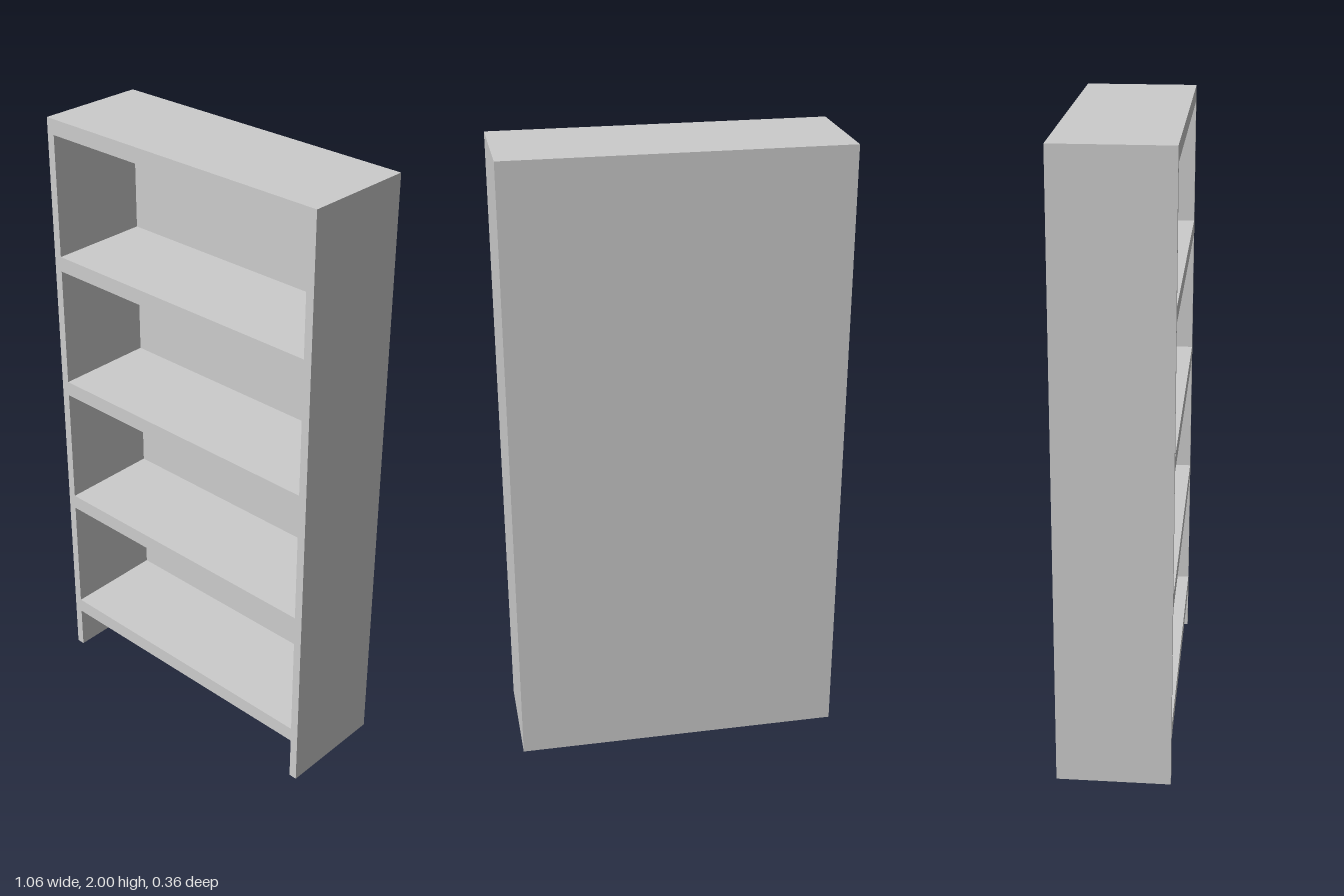
import * as THREE from 'three';

const WIDTH = 1.056, HEIGHT = 2, DEPTH = 0.36;
const SIDE = 0.027, BOARD = 0.05, BACK = 0.025;
const INNER = WIDTH - 2 * SIDE;

export function createModel() {
  const model = new THREE.Group();
  model.name = 'bookcase';
  const material = new THREE.MeshStandardMaterial({ color: 0xcccccc });

  const board = (name, w, h, d, x, y, z) => {
    const mesh = new THREE.Mesh(new THREE.BoxGeometry(w, h, d), material);
    mesh.name = name;
    mesh.position.set(x, y, z);
    model.add(mesh);
  };

  // Full-height side panels, which also form the feet
  for (const [name, s] of [['leftSide', 1], ['rightSide', -1]]) {
    board(name, SIDE, HEIGHT, DEPTH, s * (WIDTH - SIDE) / 2, HEIGHT / 2, 0);
  }

  // Top board between the sides
  board('top', INNER, BOARD, DEPTH, 0, HEIGHT - BOARD / 2, 0);

  // Back panel, reaching down to the floor
  const backHeight = HEIGHT - BOARD;
  board('backPanel', INNER, backHeight, BACK, 0, backHeight / 2, (BACK - DEPTH) / 2);

  // Four evenly spaced shelves in front of the back panel
  for (let i = 0; i < 4; i++) {
    board(`shelf${i + 1}`, INNER, BOARD, DEPTH - BACK, 0, 0.175 + i * 0.45, BACK / 2);
  }

  return model;
}
